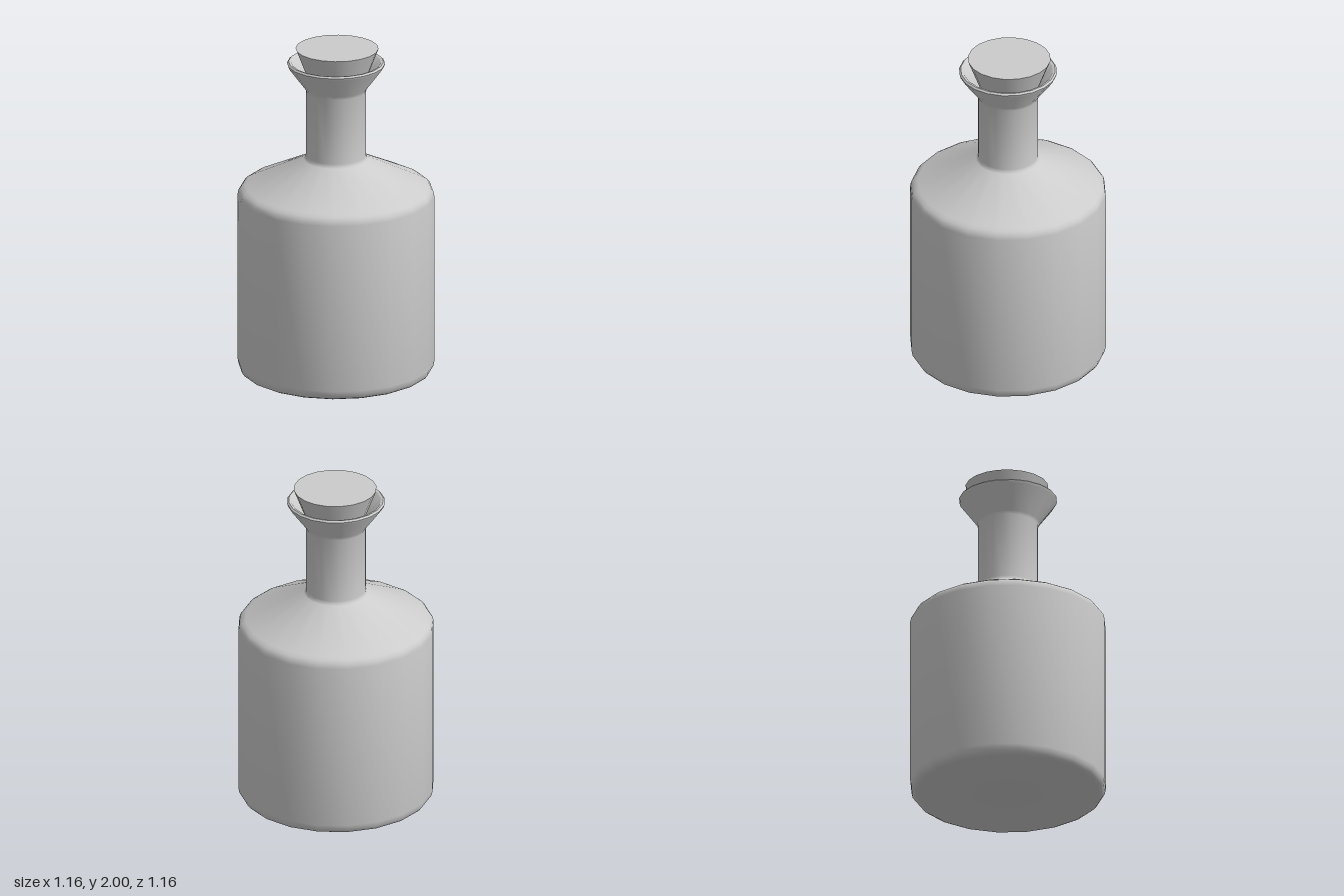
import * as THREE from 'three';
import { toCreasedNormals } from 'three/addons/utils/BufferGeometryUtils.js';

const SIDES = 20;

// Turns a [radius, height] profile about the y axis, keeping sharp edges sharp
function turned(name, profile) {
  const points = profile.map(([r, y]) => new THREE.Vector2(r, y));
  const geometry = toCreasedNormals(new THREE.LatheGeometry(points, SIDES), 0.75);
  const material = new THREE.MeshStandardMaterial({ color: 0xcccccc, side: THREE.DoubleSide });
  const mesh = new THREE.Mesh(geometry, material);
  mesh.name = name;
  return mesh;
}

export function createModel() {
  const model = new THREE.Group();
  model.name = 'stopperedBottle';

  // Bottle: bevelled base, straight wall, sloping shoulder, neck, flared lip and inner funnel
  const bottle = turned('bottle', [
    [0, 0], [0.54, 0], [0.56, 0.01], [0.574, 0.03], [0.58, 0.06],
    [0.58, 1.09], [0.575, 1.115], [0.56, 1.135], [0.535, 1.15],
    [0.19, 1.315], [0.18, 1.325],
    [0.178, 1.34], [0.178, 1.74], [0.185, 1.76],
    [0.285, 1.895], [0.29, 1.91], [0.28, 1.92], [0.265, 1.917],
    [0.16, 1.775], [0.155, 1.74], [0.155, 1.35], [0, 1.35],
  ]);

  // Stopper: tapered plug sitting slightly off centre in the mouth
  const stopper = turned('stopper', [
    [0, 1.77], [0.157, 1.77], [0.245, 2], [0, 2],
  ]);
  stopper.position.z = -0.01;

  model.add(bottle, stopper);
  return model;
}
